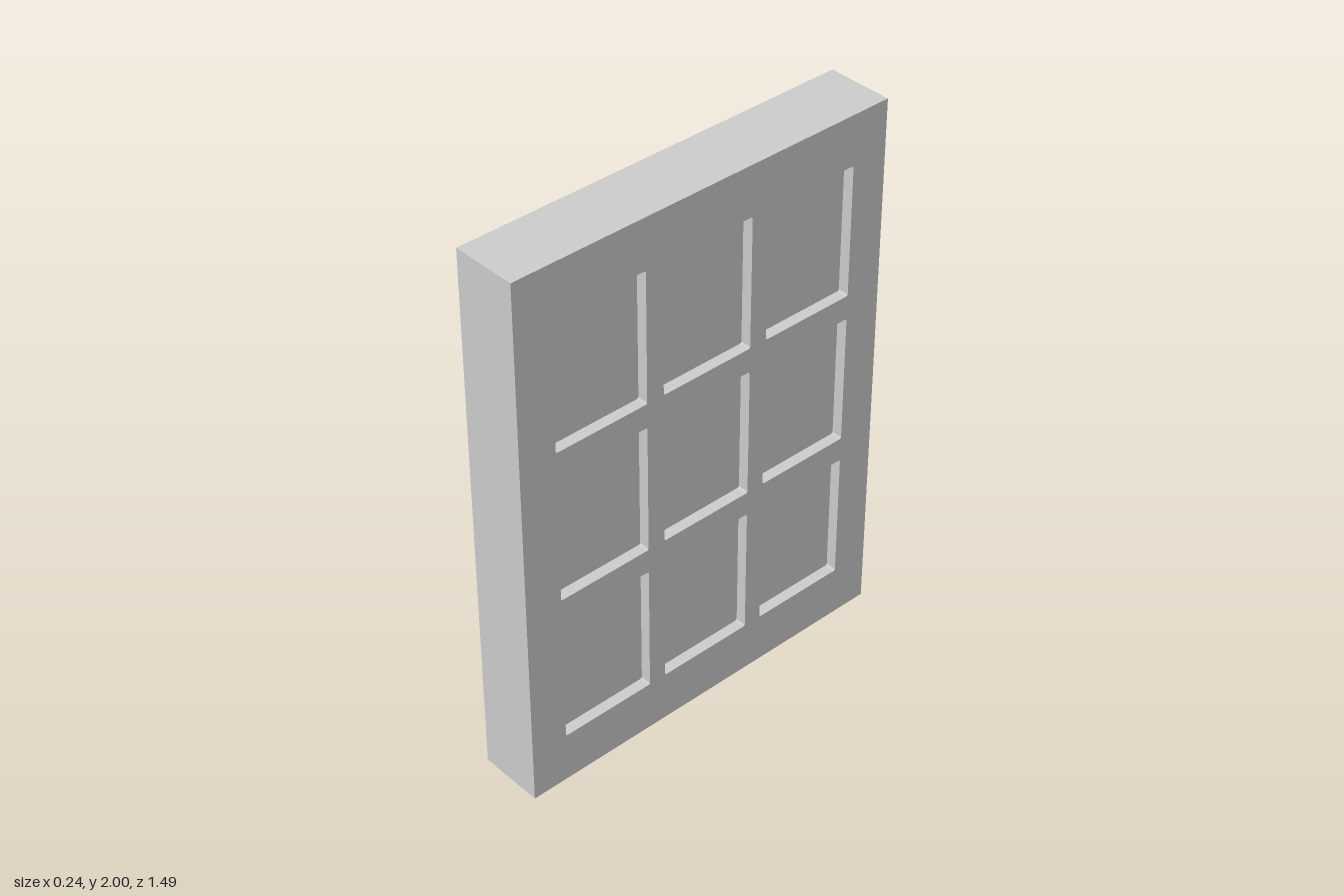
import * as THREE from 'three';

const HEIGHT = 2, WIDTH = 1.49, THICK = 0.24, RECESS = 0.04;
const OPEN_W = 0.36, OPEN_H = 0.483, RADIUS = 0.008;
const COLUMNS = [-0.427, 0, 0.427];
const ROWS = [0.43, 1.0025, 1.575];

// Rectangle with tiny rounded corners, centred on (cx, cy)
function roundedRect(target, cx, cy, w, h, r) {
  const l = cx - w / 2, b = cy - h / 2, t = cy + h / 2, e = cx + w / 2;
  target.moveTo(l + r, b).lineTo(e - r, b).quadraticCurveTo(e, b, e, b + r)
    .lineTo(e, t - r).quadraticCurveTo(e, t, e - r, t)
    .lineTo(l + r, t).quadraticCurveTo(l, t, l, t - r)
    .lineTo(l, b + r).quadraticCurveTo(l, b, l + r, b);
  return target;
}

// Extrude centred on x = 0, with the shape lying in the z-y plane
function slab(shape, depth) {
  return new THREE.ExtrudeGeometry(shape, { depth, bevelEnabled: false, curveSegments: 4 })
    .translate(0, 0, -depth / 2)
    .rotateY(Math.PI / 2);
}

export function createModel() {
  const model = new THREE.Group();
  model.name = 'panelledDoor';
  const material = new THREE.MeshStandardMaterial({ color: 0xcccccc });

  // Frame with a three by three grid of openings
  const outline = new THREE.Shape()
    .moveTo(-WIDTH / 2, 0).lineTo(WIDTH / 2, 0)
    .lineTo(WIDTH / 2, HEIGHT).lineTo(-WIDTH / 2, HEIGHT).closePath();
  const panels = new THREE.Group();
  panels.name = 'recessedPanels';

  // Panels fill each opening, set back on both faces
  for (const y of ROWS) {
    for (const x of COLUMNS) {
      outline.holes.push(roundedRect(new THREE.Path(), x, y, OPEN_W, OPEN_H, RADIUS));
      const shape = roundedRect(new THREE.Shape(), x, y, OPEN_W, OPEN_H, RADIUS);
      const panel = new THREE.Mesh(slab(shape, THICK - 2 * RECESS), material);
      panel.name = 'panel';
      panels.add(panel);
    }
  }

  const frame = new THREE.Mesh(slab(outline, THICK), material);
  frame.name = 'frame';
  model.add(frame, panels);
  return model;
}
